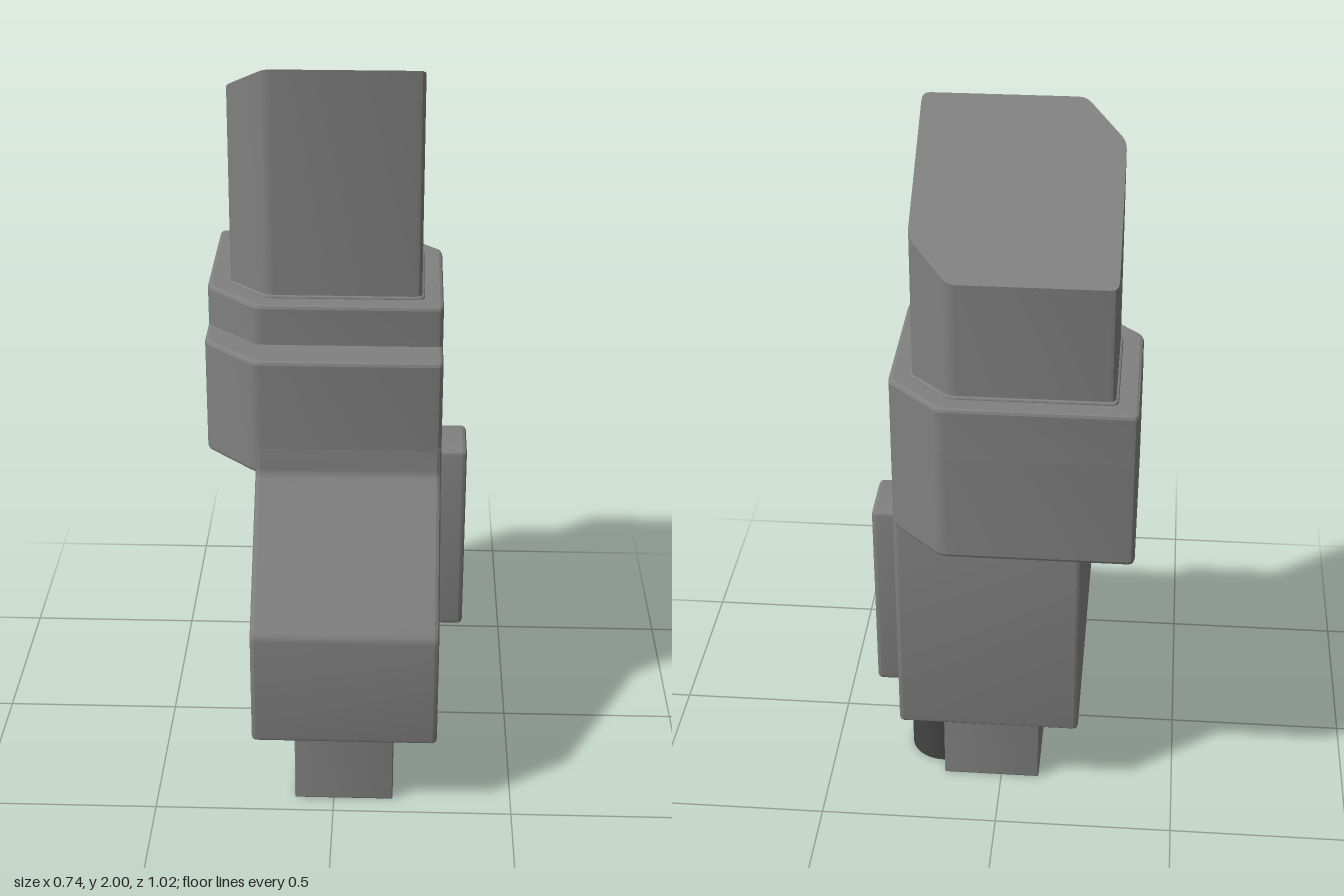
import * as THREE from 'three';
import { toCreasedNormals } from 'three/addons/utils/BufferGeometryUtils.js';

const grey = new THREE.MeshStandardMaterial({ color: 0x808080 });
const dark = new THREE.MeshStandardMaterial({ color: 0x444444 });

// Closed outline with slightly rounded corners
function outline(points, r) {
  const shape = new THREE.Shape();
  const p = points.map(([a, b]) => new THREE.Vector2(a, b));
  p.forEach((c, i) => {
    const prev = p[(i + p.length - 1) % p.length], next = p[(i + 1) % p.length];
    const a = prev.clone().sub(c).setLength(r).add(c);
    const b = next.clone().sub(c).setLength(r).add(c);
    if (i) shape.lineTo(a.x, a.y); else shape.moveTo(a.x, a.y);
    shape.quadraticCurveTo(c.x, c.y, b.x, b.y);
  });
  shape.closePath();
  return shape;
}

// Bevelled extrusion from 0 to depth that keeps the outline's outer size
function extrude(points, depth, bevel, r = 0.02) {
  const geo = new THREE.ExtrudeGeometry(outline(points, r), {
    depth: depth - 2 * bevel, curveSegments: 3,
    bevelEnabled: bevel > 0, bevelThickness: bevel, bevelSize: bevel, bevelOffset: -bevel, bevelSegments: 2,
  });
  return geo.translate(0, 0, bevel);
}

// Plan outline in (x, z), raised from y0 to y1
function slab(plan, y0, y1, bevel, r) {
  const geo = extrude(plan.map(([x, z]) => [x, -z]), y1 - y0, bevel, r);
  return geo.rotateX(-Math.PI / 2).translate(0, y0, 0);
}

// Side outline in (z, y), spanning x0 to x1
function sidePlate(profile, x0, x1, bevel, r) {
  const geo = extrude(profile.map(([z, y]) => [-z, y]), x1 - x0, bevel, r);
  return geo.rotateY(Math.PI / 2).translate(x0, 0, 0);
}

// Rectangle with two opposite corners cut: left-front and right-back
const cutRect = (x0, x1, z0, z1, c) => [
  [x0, z0], [x1 - c, z0], [x1, z0 + c], [x1, z1], [x0 + c, z1], [x0, z1 - c],
];
const rect = (a0, a1, b0, b1) => [[a0, b0], [a1, b0], [a1, b1], [a0, b1]];

export function createModel() {
  const model = new THREE.Group();
  const add = (name, geo, material = grey) => {
    const mesh = new THREE.Mesh(toCreasedNormals(geo, 0.3), material);
    mesh.name = name;
    model.add(mesh);
    return mesh;
  };

  // Lower body with the sloping front
  add('lowerBody', sidePlate([
    [0.51, 0.235], [0.51, 0.57], [0.2, 0.91], [0.2, 1.0], [-0.365, 1.0], [-0.365, 0.235],
  ], -0.225, 0.287, 0.012, 0.015));

  // Overhanging upper body and its raised step
  add('upperBody', slab(cutRect(-0.37, 0.287, -0.51, 0.2, 0.145), 0.91, 1.245, 0.01));
  add('upperStep', slab(cutRect(-0.37, 0.287, -0.51, 0.082, 0.145), 1.2, 1.36, 0.01));

  // Neck, its top sheared into a backward slope, on a thin collar
  const neck = slab(cutRect(-0.308, 0.228, -0.45, 0.02, 0.11), 1.34, 2, 0, 0.02);
  const pos = neck.attributes.position;
  for (let i = 0; i < pos.count; i++) {
    if (pos.getY(i) > 1.5) pos.setY(i, 2 - (0.02 - pos.getZ(i)) * 0.68);
  }
  add('neck', neck);
  add('neckCollar', slab(cutRect(-0.315, 0.235, -0.457, 0.027, 0.112), 1.34, 1.367, 0.005));

  // Raised side panel with a thin rim at its base
  add('sidePanel', sidePlate(rect(-0.232, -0.05, 0.28, 0.862), 0.25, 0.366, 0.012));
  add('sidePanelRim', sidePlate(rect(-0.24, -0.042, 0.272, 0.87), 0.25, 0.293, 0.005));

  // Pegs under the body
  add('frontPeg', slab(rect(-0.11, 0.167, 0.276, 0.442), 0, 0.26, 0.004, 0.006));
  add('backPeg', slab(rect(-0.11, 0.167, -0.297, 0.013), 0, 0.26, 0.004, 0.006));

  // Round knob with a wider cap
  add('knobStem', new THREE.CylinderGeometry(0.1, 0.1, 0.14, 32), dark).position.set(0.178, 0.07, -0.142);
  add('knobCap', new THREE.CylinderGeometry(0.118, 0.118, 0.046, 32), dark).position.set(0.178, 0.149, -0.142);

  return model;
}
